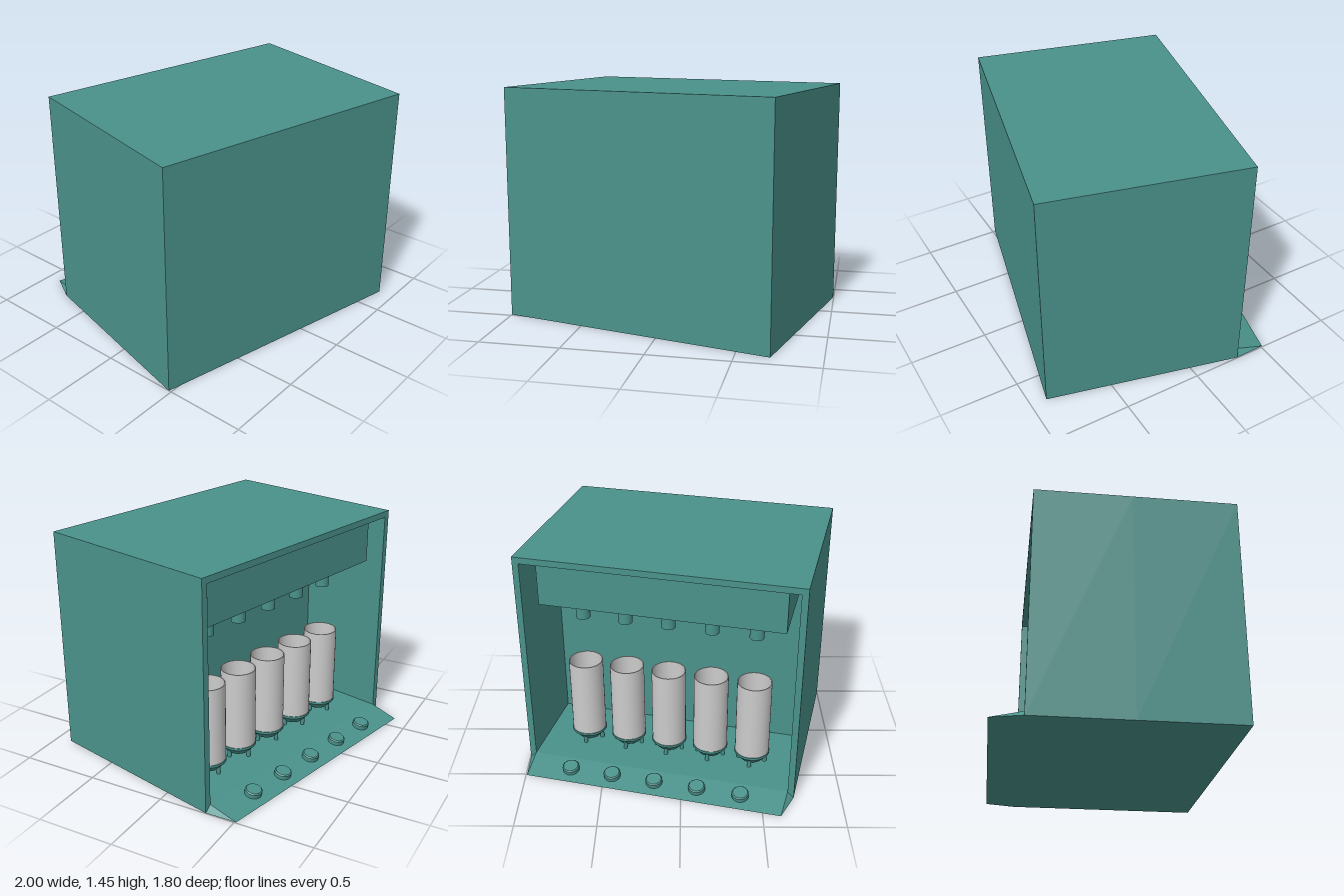
import * as THREE from 'three';
import { ConvexGeometry } from 'three/addons/geometries/ConvexGeometry.js';

const HALF_W = 0.876, BACK = -0.6225, FRONT = 0.6225, HEIGHT = 1.45;
const WALL = 0.04, CAVITY_END = -0.02;
const INNER_W = HALF_W - WALL;
const SPACING = 0.278, CUP_Z = -0.34;

export function createModel() {
  const teal = new THREE.MeshStandardMaterial({ color: 0x4a928b });
  teal.name = 'teal';
  const grey = new THREE.MeshStandardMaterial({ color: 0xcccccc });
  grey.name = 'light grey';

  const model = new THREE.Group();
  model.name = 'dispenser';
  const add = (name, geometry, material, x, y, z, parent = model) => {
    const mesh = new THREE.Mesh(geometry, material);
    mesh.name = name;
    mesh.position.set(x, y, z);
    parent.add(mesh);
    return mesh;
  };
  // Each straight run is lathed from its own points so that edges stay sharp
  const lathe = (points) => {
    const pts = [];
    points.forEach(([r, y], i) => {
      pts.push(new THREE.Vector2(r, y));
      if (i > 0 && i < points.length - 1) pts.push(new THREE.Vector2(r, y));
    });
    const geo = new THREE.LatheGeometry(pts, 32).toNonIndexed();
    // drop the collapsed triangles, then shade each band on its own
    const pos = geo.getAttribute('position');
    const normal = geo.getAttribute('normal');
    const a = new THREE.Vector3(), b = new THREE.Vector3(), c = new THREE.Vector3();
    for (let i = 0; i < pos.count; i += 3) {
      a.fromBufferAttribute(pos, i);
      b.fromBufferAttribute(pos, i + 1).sub(a);
      c.fromBufferAttribute(pos, i + 2).sub(a);
      const n = b.cross(c).normalize();
      const flat = Math.hypot(n.x, n.z);
      const mid = Math.atan2(n.z, n.x);
      for (let k = i; k < i + 3; k++) {
        const x = pos.getX(k), z = pos.getZ(k);
        let ang = Math.hypot(x, z) > 1e-6 ? Math.atan2(z, x) : mid;
        if (Math.cos(ang - mid) < 0) ang += Math.PI;
        normal.setXYZ(k, Math.cos(ang) * flat, n.y, Math.sin(ang) * flat);
      }
    }
    return geo;
  };

  // Solid front part of the cabinet
  const depth = FRONT - CAVITY_END;
  add('cabinetBody', new THREE.BoxGeometry(HALF_W * 2, HEIGHT, depth), teal,
    0, HEIGHT / 2, CAVITY_END + depth / 2);

  // Frame of walls, floor and roof around the open bay at the back
  const rect = (target, w, y0, y1) => {
    target.moveTo(-w, y0);
    target.lineTo(w, y0);
    target.lineTo(w, y1);
    target.lineTo(-w, y1);
    target.closePath();
    return target;
  };
  const frame = rect(new THREE.Shape(), HALF_W, 0, HEIGHT);
  frame.holes.push(rect(new THREE.Path(), INNER_W, WALL, HEIGHT - WALL));
  add('bayFrame', new THREE.ExtrudeGeometry(frame, { depth: CAVITY_END - BACK, bevelEnabled: false }),
    teal, 0, 0, BACK);

  // Sloping control ledge
  const tip = -0.815;
  const ledge = [];
  for (const s of [-1, 1]) {
    ledge.push(
      new THREE.Vector3(s * HALF_W, 0, BACK),
      new THREE.Vector3(s * INNER_W, WALL, BACK),
      new THREE.Vector3(s * 0.826, 0, tip));
  }
  add('controlLedge', new ConvexGeometry(ledge), teal, 0, 0, 0);

  // Overhead housing in the bay
  const houseBottom = 1.115, houseTop = HEIGHT - WALL, houseBack = -0.549;
  add('overheadHousing',
    new THREE.BoxGeometry(1.52, houseTop - houseBottom, CAVITY_END - houseBack), teal,
    0, (houseTop + houseBottom) / 2, (CAVITY_END + houseBack) / 2);

  const cupGeo = lathe([[0, 0], [0.11, 0], [0.11, 0.515], [0.104, 0.515], [0.104, 0.01], [0, 0.01]]);
  const baseGeo = lathe([[0, 0], [0.075, 0], [0.114, 0.045], [0.114, 0.06], [0, 0.06]]);
  const nozzleGeo = lathe([[0.037, 0.165], [0.037, 0], [0.045, 0], [0.045, 0.165]]);
  const buttonGeo = lathe([[0, -0.01], [0.053, -0.01], [0.053, 0.028], [0.046, 0.035], [0, 0.035]]);
  const legGeo = new THREE.CylinderGeometry(0.013, 0.013, 0.065, 12);
  const slope = Math.atan2(WALL, BACK - tip);

  // Five stations: cup on a legged base, nozzle above, button behind
  for (let i = -2; i <= 2; i++) {
    const station = new THREE.Group();
    station.name = 'station';
    station.position.x = i * SPACING;
    model.add(station);

    add('cup', cupGeo, grey, 0, 0.12, CUP_Z, station);
    add('cupBase', baseGeo, teal, 0, 0.063, CUP_Z, station);
    for (let k = 0; k < 4; k++) {
      const a = k * Math.PI / 2;
      add('baseLeg', legGeo, teal, 0.086 * Math.cos(a), 0.07, CUP_Z + 0.086 * Math.sin(a), station);
    }
    add('nozzle', nozzleGeo, teal, 0, 0.95, CUP_Z, station);
    add('button', buttonGeo, teal, 0.003, 0.021, -0.711, station).rotation.x = -slope;
  }

  // The cabinet stands turned on its spot
  model.rotation.y = -0.2395;
  model.position.set(-0.002, 0, 0.086);
  const root = new THREE.Group();
  root.name = 'model';
  root.add(model);
  return root;
}
